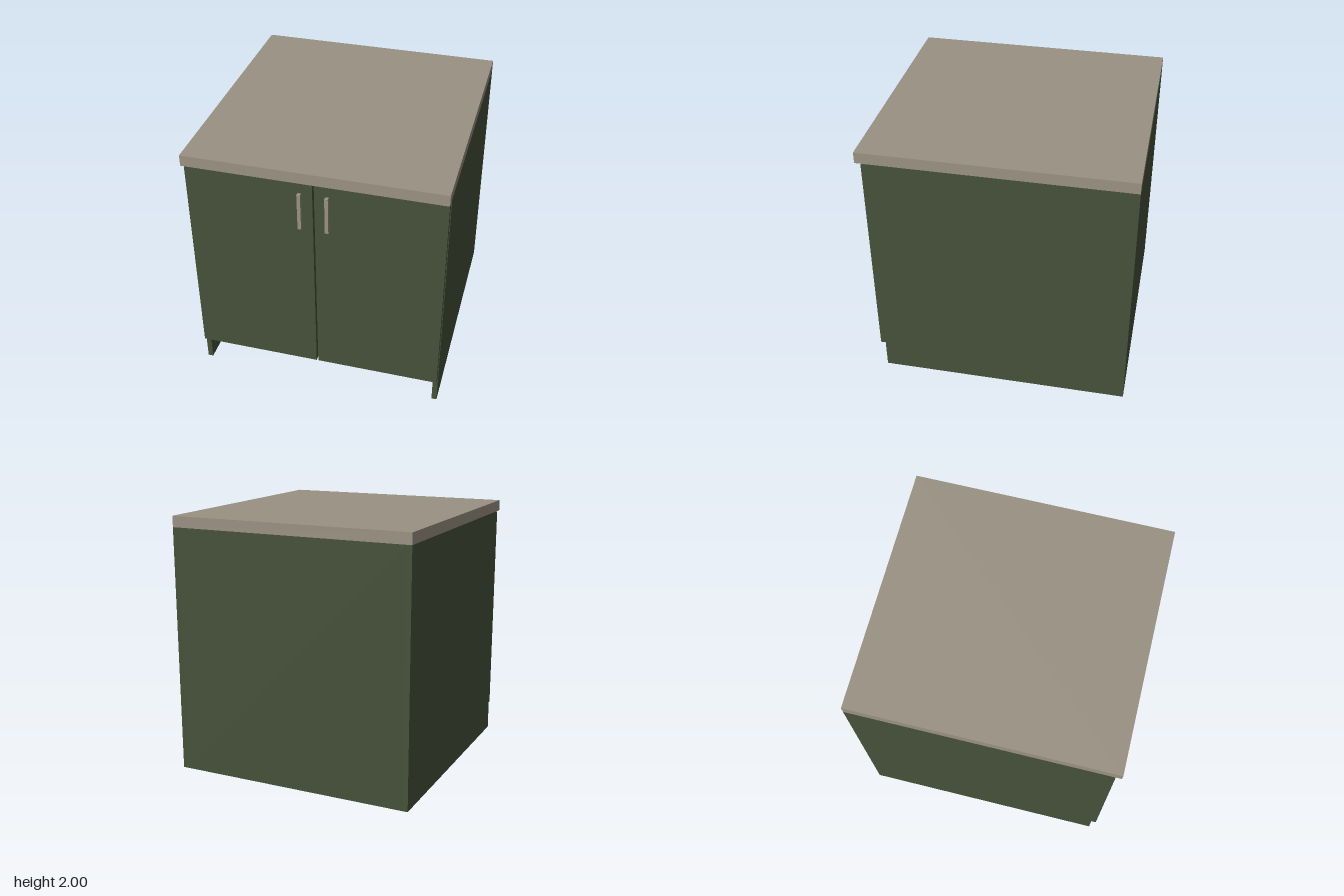
import * as THREE from 'three';

export function createModel() {
  const group = new THREE.Group();
  group.name = 'baseCabinet';

  const green = new THREE.MeshStandardMaterial({ color: 0x46513a });
  green.name = 'dark green paint';
  const stone = new THREE.MeshStandardMaterial({ color: 0x9a9182 });
  stone.name = 'warm grey';

  // Box given by its low and high corners
  function panel(name, material, [x0, y0, z0], [x1, y1, z1]) {
    const geometry = new THREE.BoxGeometry(x1 - x0, y1 - y0, z1 - z0);
    const mesh = new THREE.Mesh(geometry, material);
    mesh.position.set((x0 + x1) / 2, (y0 + y1) / 2, (z0 + z1) / 2);
    mesh.name = name;
    group.add(mesh);
  }

  const W = 0.955;       // half width
  const T = 0.04;        // board thickness
  const top = 1.915;     // underside of the worktop
  const front = 0.917;   // front edge of the carcass
  const kick = 0.222;    // height of the open toe space

  panel('worktop', stone, [-W, top, -1], [W, 2, 1]);

  // Carcass, open underneath
  panel('backPanel', green, [-W + T, 0, -1], [W - T, top, -0.99]);
  panel('middleDivider', green, [-T / 2, kick, -0.99], [T / 2, top, front]);

  for (const [side, s] of [['left', 1], ['right', -1]]) {
    // Mirrors a span of x to the given side
    const span = (a, b) => (s > 0 ? [a, b] : [-b, -a]);
    const [p0, p1] = span(W - T, W);
    panel(side + 'SidePanel', green, [p0, 0, -1], [p1, top, front]);

    // Door with a narrow gap to its neighbour
    const [d0, d1] = span(0.007, 0.95);
    panel(side + 'Door', green, [d0, kick, front], [d1, 1.907, 0.957]);

    // Upright bar handle near the centre
    const [h0, h1] = span(0.087, 0.113);
    panel(side + 'Handle', stone, [h0, 1.513, 0.957], [h1, 1.805, 0.985]);
  }

  return group;
}
